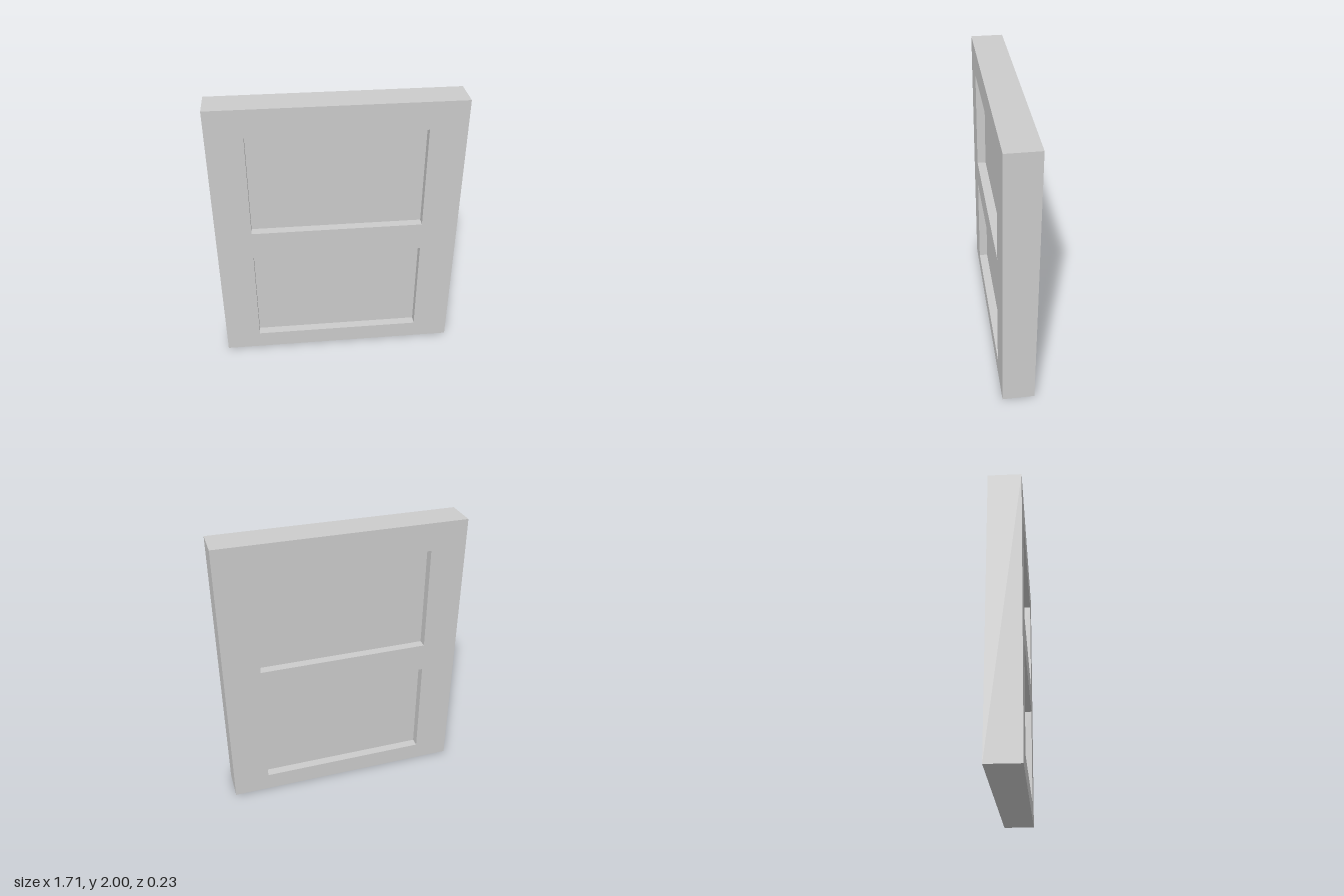
import * as THREE from 'three';

const HALF_W = 0.855, HEIGHT = 2, DEPTH = 0.228, RECESS = 0.063;
const LEFT = -0.605, RIGHT = 0.599;
const OPENINGS = [
  { name: 'lowerPanel', y0: 0.13, y1: 0.857 },
  { name: 'upperPanel', y0: 1.063, y1: 1.805 },
];

// Traces a rectangle on a shape or hole path
function rect(path, x0, y0, x1, y1) {
  path.moveTo(x0, y0);
  path.lineTo(x1, y0);
  path.lineTo(x1, y1);
  path.lineTo(x0, y1);
  path.closePath();
  return path;
}

export function createModel() {
  const model = new THREE.Group();
  model.name = 'panelledDoor';
  const material = new THREE.MeshStandardMaterial({ color: 0xcccccc, flatShading: true });

  // Frame: outer stiles and rails with two openings cut through
  const outline = rect(new THREE.Shape(), -HALF_W, 0, HALF_W, HEIGHT);
  for (const o of OPENINGS) outline.holes.push(rect(new THREE.Path(), LEFT, o.y0, RIGHT, o.y1));
  const frameGeometry = new THREE.ExtrudeGeometry(outline, { depth: DEPTH, bevelEnabled: false });
  frameGeometry.translate(0, 0, -DEPTH / 2);
  const frame = new THREE.Mesh(frameGeometry, material);
  frame.name = 'frame';
  model.add(frame);

  // Panels: thinner slabs, recessed equally on front and back
  for (const o of OPENINGS) {
    const panel = new THREE.Mesh(
      new THREE.BoxGeometry(RIGHT - LEFT, o.y1 - o.y0, DEPTH - 2 * RECESS), material);
    panel.position.set((LEFT + RIGHT) / 2, (o.y0 + o.y1) / 2, 0);
    panel.name = o.name;
    model.add(panel);
  }
  return model;
}
